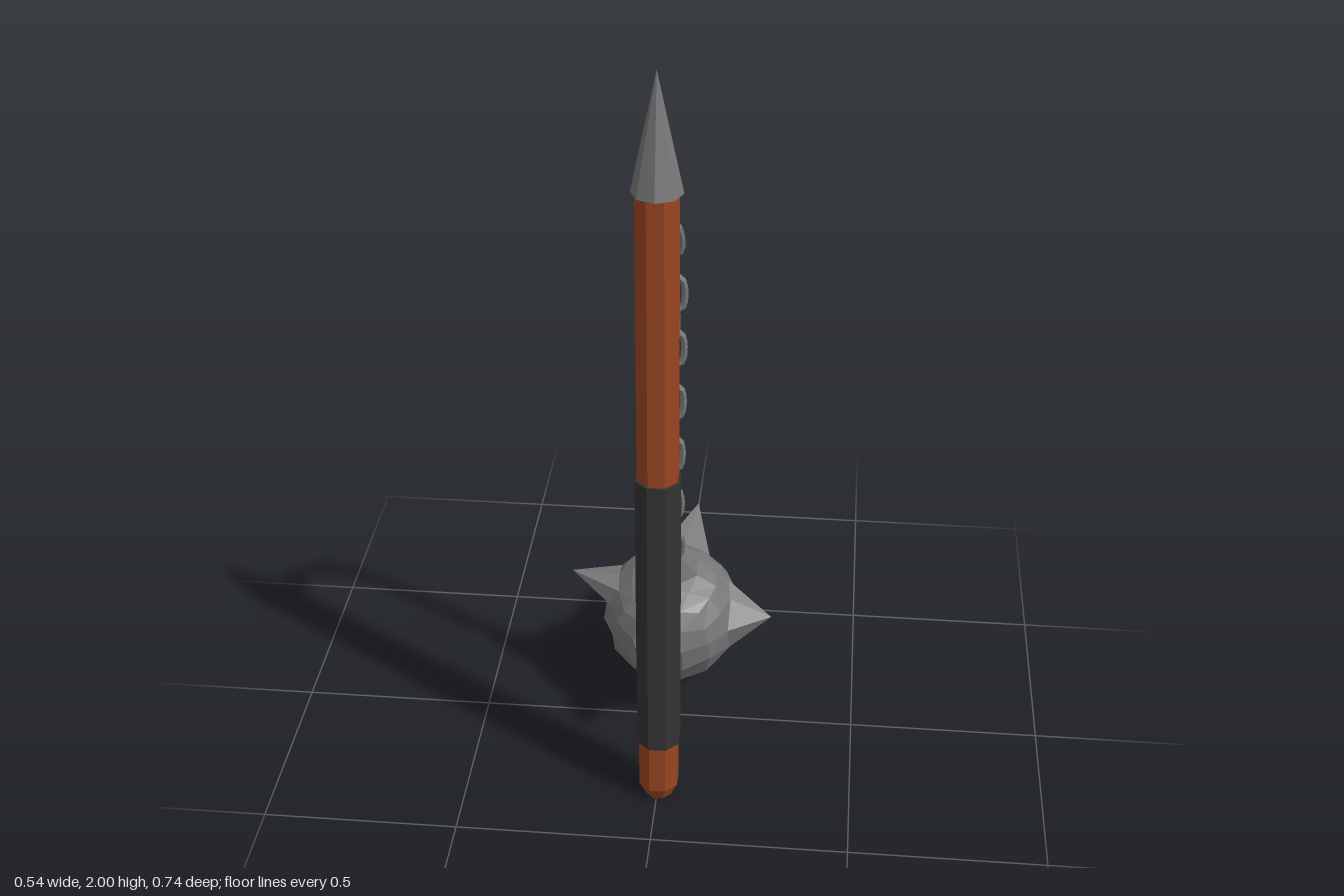
import * as THREE from 'three';

const mat = (color) => new THREE.MeshStandardMaterial({ color, flatShading: true });
const V = (x, y, z) => new THREE.Vector3(x, y, z);

function mesh(name, geometry, material) {
  const m = new THREE.Mesh(geometry, material);
  m.name = name;
  return m;
}

// Eight-sided turned part with a flat side to the front
function octagonal(profile, phase = Math.PI / 8) {
  const g = new THREE.LatheGeometry(profile.map(([r, y]) => new THREE.Vector2(r, y)), 8);
  return g.rotateY(phase);
}

// Oval chain link, long along y, lying in the xy plane
function linkGeometry(length, width, wire) {
  const r = width / 2 - wire;
  const h = length / 2 - wire - r;
  const points = [];
  for (const [side, start] of [[1, 0], [-1, Math.PI]]) {
    for (let i = 0; i <= 4; i++) {
      const a = start + (i * Math.PI) / 4;
      points.push(V(Math.cos(a) * r, side * h + Math.sin(a) * r, 0));
    }
  }
  const curve = new THREE.CurvePath();
  points.forEach((p, i) => curve.add(new THREE.LineCurve3(p, points[(i + 1) % points.length])));
  const smooth = new THREE.CatmullRomCurve3(points, true, 'centripetal');
  return new THREE.TubeGeometry(smooth, 16, wire, 6, true);
}

// Ball made from a divided cube: the middle of each cube side is drawn out into a spike
function spikedBall(radius, tips) {
  const g = new THREE.BoxGeometry(2, 2, 2, 4, 4, 4);
  const pos = g.attributes.position;
  const p = V(0, 0, 0);
  for (let i = 0; i < pos.count; i++) {
    p.fromBufferAttribute(pos, i);
    const c = p.toArray().map((v) => Math.tan((v * Math.PI) / 4));
    const out = V(0, 0, 0);
    let isTip = false;
    c.forEach((v, axis) => {
      const tip = tips[axis][v > 0 ? 0 : 1];
      const others = c.reduce((s, w, k) => s + (k === axis ? 0 : Math.abs(w)), 0);
      if (Math.abs(v) > 0.99 && others < 0.01) {
        out.copy(tip);
        isTip = true;
      } else if (!isTip) {
        out.addScaledVector(tip.clone().normalize(), Math.abs(v));
      }
    });
    if (!isTip) out.setLength(radius);
    pos.setXYZ(i, out.x, out.y, out.z);
  }
  g.computeVertexNormals();
  return g;
}

export function createModel() {
  const group = new THREE.Group();
  const wood = mat(0x9a4522);
  const leather = mat(0x333333);
  const metal = mat(0x777777);

  // Handle: wooden shaft, grip and pointed cap
  const handle = new THREE.Group();
  handle.name = 'handle';
  handle.position.set(0.004, 0, 0.313);
  handle.add(mesh('shaft', octagonal([[0, 0], [0.034, 0], [0.053, 0.04], [0.053, 1.72], [0, 1.72]]), wood));
  handle.add(mesh('grip', octagonal([[0.05, 0.18], [0.058, 0.18], [0.058, 0.975], [0.05, 0.975]]), leather));
  handle.add(mesh('pointedCap', octagonal([[0, 1.715], [0.06, 1.715], [0, 2]], 0), metal));
  group.add(handle);

  // Staple that holds the chain to the shaft
  const staple = new THREE.Group();
  staple.name = 'staple';
  for (const x of [-0.026, 0.026]) {
    const bar = mesh('stapleArm', new THREE.BoxGeometry(0.014, 0.034, 0.085), metal);
    bar.position.set(x, 0, 0.043);
    staple.add(bar);
  }
  const cross = mesh('stapleBar', new THREE.BoxGeometry(0.066, 0.034, 0.014), metal);
  cross.position.z = 0.005;
  staple.add(cross);
  staple.position.set(0.004, 1.665, 0.208);
  group.add(staple);

  // Chain: links along a hanging curve, each turned a quarter from the last
  const path = new THREE.CatmullRomCurve3([
    V(0.002, 1.675, 0.235), V(0.004, 1.645, 0.165), V(0.008, 1.57, 0.1), V(0.015, 1.46, 0.062),
    V(0.02, 1.34, 0.045), V(0.018, 1.13, 0.035), V(0.015, 0.9, 0.028), V(0.012, 0.72, 0.018),
    V(0.012, 0.6, -0.002), V(0.01, 0.515, -0.024),
  ]);
  const chain = new THREE.Group();
  chain.name = 'chain';
  const count = 16;
  const link = linkGeometry(0.112, 0.062, 0.0088);
  for (let i = 0; i < count; i++) {
    const t = (i + 0.5) / count;
    const along = path.getTangentAt(t).negate();
    const side = V(1, 0, 0).cross(along).normalize();
    const across = along.clone().cross(side);
    const m = mesh('chainLink', link, metal);
    const [a, b] = i % 2 ? [across, side] : [side, across.negate()];
    m.quaternion.setFromRotationMatrix(new THREE.Matrix4().makeBasis(a.negate(), along, b.negate()));
    m.rotateY(0.25);
    m.position.copy(path.getPointAt(t));
    chain.add(m);
  }
  group.add(chain);

  // Spiked ball: one pair of tips for each axis
  const ball = mesh('spikedBall', spikedBall(0.186, [
    [V(0.272, 0.03, 0.04), V(-0.272, 0.11, -0.015)],
    [V(0.01, 0.268, 0.077), V(-0.015, -0.235, -0.085)],
    [V(-0.043, -0.01, 0.29), V(0.05, 0.18, -0.268)],
  ]), metal);
  ball.position.set(0, 0.275, -0.1);
  group.add(ball);

  return group;
}
